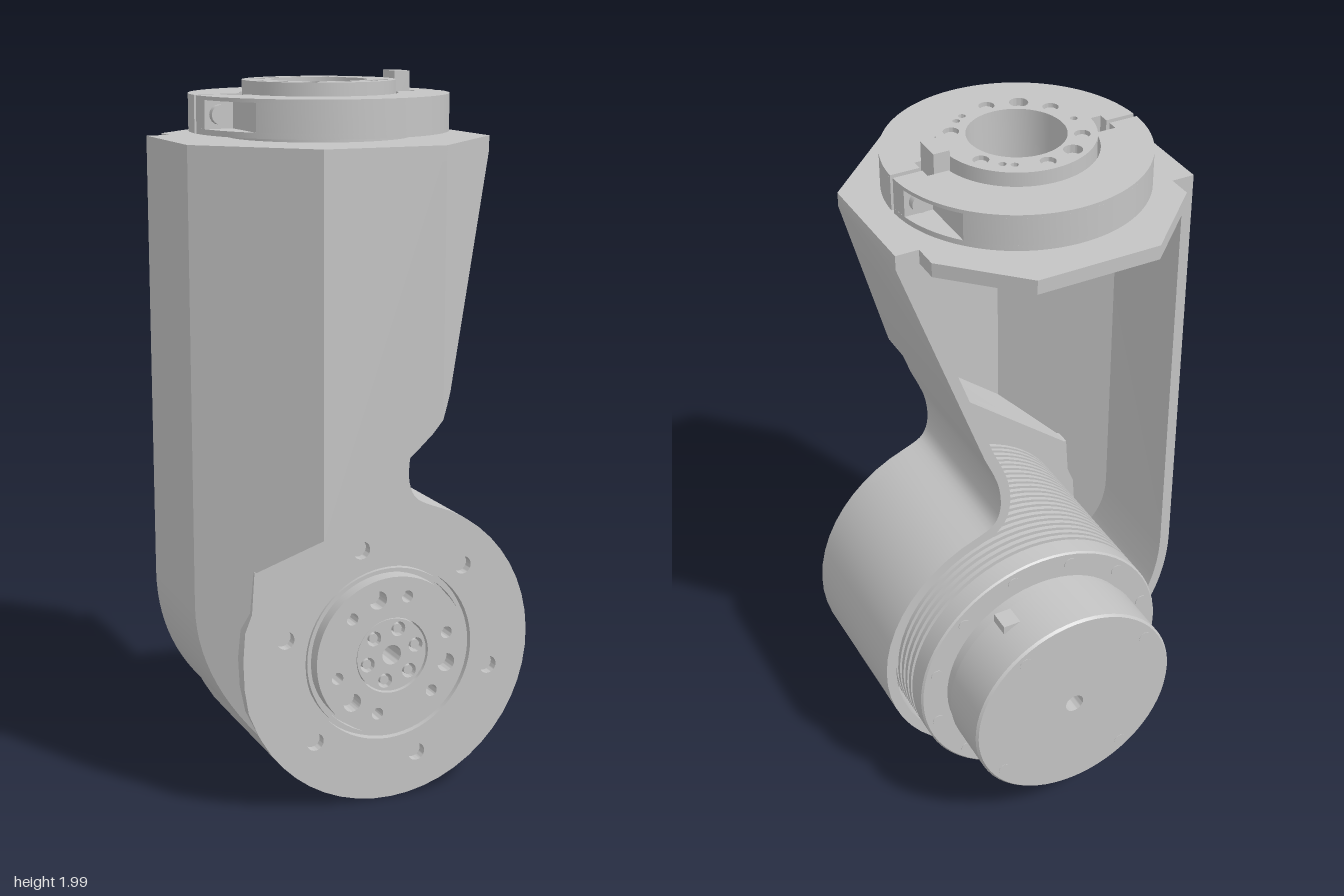
import * as THREE from 'three';
import { toCreasedNormals } from 'three/addons/utils/BufferGeometryUtils.js';

const CX = 0.043, CY = 0.435, R = 0.427;  // motor axis and housing radius
const TX = -0.042, TZ = 0.042;            // clamp axis
const BACK = -0.13, FACE = 0.34, WALL = 0.03;
const V = (x, y) => new THREE.Vector2(x, y);
const polar = (r, deg, x = 0, y = 0) =>
  V(x + r * Math.cos(deg * Math.PI / 180), y + r * Math.sin(deg * Math.PI / 180));

// Front surface of the upper shell: flat centre with two chamfers
const shellZ = x => Math.min(0.475, 0.605 - x, 0.685 + x);
// The lower housing ends at the flat motor face
const frontZ = (x, y) => (x > -0.3449 && y < 1.1805 ? FACE : shellZ(x));

function circleHole(shape, r, x = 0, y = 0) {
  const p = new THREE.Path();
  p.absarc(x, y, r, 0, Math.PI * 2, true);
  shape.holes.push(p);
}
function disc(r, bore) {
  const s = new THREE.Shape();
  s.absarc(0, 0, r, 0, Math.PI * 2, false);
  circleHole(s, bore);
  return s;
}
const extrude = (shape, depth) => toCreasedNormals(
  new THREE.ExtrudeGeometry(shape, { depth, bevelEnabled: false, curveSegments: 32 }), 0.5);
// Horizontal slab: shape y becomes z, top face at the given height
const slab = (shape, top, depth) => extrude(shape, depth).rotateX(Math.PI / 2).translate(0, top, 0);

function quads(list) {
  const pos = [];
  for (const [a, b, c, d] of list) pos.push(...a, ...b, ...c, ...a, ...c, ...d);
  const g = new THREE.BufferGeometry();
  g.setAttribute('position', new THREE.Float32BufferAttribute(pos, 3));
  return toCreasedNormals(g, 0.5);
}

export function createModel() {
  const grey = new THREE.MeshStandardMaterial({ color: 0xc4c4c4, side: THREE.DoubleSide });
  grey.name = 'grey metal';
  const model = new THREE.Group();
  model.name = 'robotJoint';
  const add = (name, geometry, parent = model) => {
    const m = new THREE.Mesh(geometry, grey);
    m.name = name;
    parent.add(m);
    return m;
  };

  // Silhouette of the housing, counter-clockwise from top left to top right
  const leftArc = new THREE.QuadraticBezierCurve(
    V(-0.475, 0.6), V(-0.475, 0.4), V(-0.345, 0.255)).getPoints(12);
  const round = [];
  for (let a = 208; a <= 432; a += 7) round.push(polar(R, a, CX, CY));
  const neck = [...new THREE.SplineCurve([V(0.175, 0.841), V(0.125, 0.865), V(0.103, 0.9),
    V(0.097, 0.95), V(0.108, 1.02), V(0.145, 1.11)]).getPoints(15).slice(1), V(0.17, 1.18)];
  const shoulder = [V(0.1705, 1.1815), V(0.385, 1.79), V(0.385, 1.83)];
  const outline = [V(-0.475, 1.83), ...leftArc, ...round, ...neck, ...shoulder];

  // Walls: outer skin, inner skin and the open rear rim
  const inner = outline.map((p, i) => {
    const a = outline[Math.max(i - 1, 0)], b = outline[Math.min(i + 1, outline.length - 1)];
    const t = b.clone().sub(a).normalize();
    return V(p.x - t.y * WALL, p.y + t.x * WALL);
  });
  const walls = [];
  for (let i = 0; i < outline.length - 1; i++) {
    const p = outline[i], q = outline[i + 1], pi = inner[i], qi = inner[i + 1];
    const pz = frontZ(p.x, p.y), qz = frontZ(q.x, q.y);
    const P = [p.x, p.y, BACK], Q = [q.x, q.y, BACK], PI = [pi.x, pi.y, BACK], QI = [qi.x, qi.y, BACK];
    walls.push([P, Q, [q.x, q.y, qz], [p.x, p.y, pz]]);
    walls.push([QI, PI, [pi.x, pi.y, pz - 0.015], [qi.x, qi.y, qz - 0.015]]);
    walls.push([Q, P, PI, QI]);
  }
  add('housingWalls', quads(walls));

  // Diagonal step between the shell and the motor face, curving up into the side wall
  const step = [V(-0.345, 0.715), V(-0.21, 0.824), V(0.05, 1.034), V(0.1, 1.08),
    V(0.13, 1.115), V(0.152, 1.148), V(0.17, 1.18)];
  add('diagonalStep', quads(step.slice(1).map((q, i) => {
    const p = step[i];
    return [[p.x, p.y, FACE], [q.x, q.y, FACE], [q.x, q.y, shellZ(q.x)], [p.x, p.y, shellZ(p.x)]];
  })));

  // Flat front panels of the upper shell
  const panel = (name, pts) => {
    const g = new THREE.ShapeGeometry(new THREE.Shape(pts));
    const p = g.attributes.position;
    for (let i = 0; i < p.count; i++) p.setZ(i, shellZ(p.getX(i)));
    g.computeVertexNormals();
    add(name, g);
  };
  panel('frontPanel', [...step.slice(1, 5), V(0.13, 1.83), V(-0.21, 1.83)]);
  panel('rightChamfer', [V(-0.475, 1.83), ...leftArc, step[0], step[1], V(-0.21, 1.83)]);
  panel('leftChamfer', [...step.slice(4), ...shoulder, V(0.13, 1.83)]);

  // Motor face plate with bolt holes, its rim standing proud of the chamfer
  const rim = [V(-0.352, 0.715), V(-0.36, 0.6), V(-0.38, 0.55), V(-0.386, 0.47),
    V(-0.383, 0.39), V(-0.372, 0.32), V(-0.345, 0.255)];
  const face = new THREE.Shape([...rim, ...round, ...neck, ...step.slice(0, -1).reverse()]);
  circleHole(face, 0.25, CX, CY);
  for (let k = 0; k < 6; k++) {
    const p = polar(0.317, 105.6 + 60 * k, CX, CY);
    circleHole(face, 0.025, p.x, p.y);
  }
  add('facePlate', extrude(face, 0.05).translate(0, 0, FACE - 0.05));

  // Finned motor body, flange and rear cap
  const motor = new THREE.Group();
  motor.name = 'motor';
  motor.position.set(CX, CY, 0);
  model.add(motor);
  const prof = [V(0.028, -0.475), V(0.306, -0.475), V(0.312, -0.468), V(0.312, -0.312),
    V(0.304, -0.308), V(0.304, -0.275), V(0.38, -0.275), V(0.385, -0.27), V(0.385, -0.213)];
  for (let z = -0.213; z < 0.27; z += 0.024)
    prof.push(V(0.367, z), V(0.367, z + 0.011), V(0.385, z + 0.011), V(0.385, z + 0.024));
  prof.push(V(0.385, 0.312), V(0.028, 0.312), V(0.028, -0.475));
  add('motorBody', toCreasedNormals(new THREE.LatheGeometry(prof, 64), 0.5).rotateX(Math.PI / 2), motor);
  const stud = (name, r, p, z, len, parent) =>
    add(name, new THREE.CylinderGeometry(r, r, len, 16).rotateX(Math.PI / 2).translate(p.x, p.y, z), parent);
  for (let k = 0; k < 12; k++) stud('flangeScrew', 0.018, polar(0.347, 15 + 30 * k), -0.272, 0.01, motor);
  for (let k = 0; k < 4; k++) stud('capScrew', 0.018, polar(0.275, 55 + 90 * k), -0.472, 0.008, motor);
  add('cableSocket', new THREE.BoxGeometry(0.055, 0.03, 0.06).translate(0.145, 0.272, -0.345), motor);

  // Output flange with its bolt pattern and hub
  const out = disc(0.225, 0.108);
  for (let k = 0; k < 3; k++) {
    for (const [r, angle] of [[0.026, 105], [0.017, 75], [0.017, 135]]) {
      const p = polar(0.17, angle + 120 * k);
      circleHole(out, r, p.x, p.y);
    }
  }
  add('outputFlange', extrude(out, 0.06).translate(0, 0, 0.3), motor);
  const hub = disc(0.104, 0.028);
  for (let k = 0; k < 6; k++) {
    const p = polar(0.075, 15 + 60 * k);
    circleHole(hub, 0.021, p.x, p.y);
    stud('hubScrew', 0.013, p, 0.33, 0.04, motor);
  }
  add('outputHub', extrude(hub, 0.05).translate(0, 0, 0.305), motor);
  add('sealRing', extrude(disc(0.243, 0.232), 0.03).translate(0, 0, 0.305), motor);

  // Top plate
  const plate = new THREE.Shape([V(-0.475, -0.13), V(-0.41, -0.13), V(-0.41, -0.2), V(-0.215, -0.39),
    V(0.13, -0.39), V(0.32, -0.2), V(0.32, -0.13), V(0.385, -0.13), V(0.385, 0.22),
    V(0.13, 0.475), V(-0.21, 0.475), V(-0.475, 0.21)]);
  circleHole(plate, 0.13, TX, TZ);
  const ring = disc(0.207, 0.13);
  const top = new THREE.Group();
  top.name = 'topCoupling';
  top.position.set(TX, 0, TZ);
  model.add(top);
  const bolt = (r, deg, y) => {
    const p = polar(0.167, deg);
    circleHole(ring, r, p.x, p.y);
    add('couplingScrew', new THREE.CylinderGeometry(r * 0.8, r * 0.8, 0.1, 16).translate(p.x, y - 0.05, p.y), top);
  };
  for (let k = 0; k < 6; k++) {
    const p = polar(0.167, 30 + 60 * k, TX, TZ);
    circleHole(plate, 0.017, p.x, p.y);
    bolt(0.021, 30 + 60 * k, 1.97);
  }
  for (const a of [120, 240]) bolt(0.025, a, 1.96);
  for (const a of [50, 60.5, 299.5, 310, 180]) bolt(0.01, a, 1.95);
  add('topPlate', slab(plate, 1.83, 0.04));
  add('couplingHub', slab(ring, 1.98, 0.15), top);
  add('spacer', slab(disc(0.25, 0.2), 1.85, 0.02), top);
  add('key', new THREE.BoxGeometry(0.045, 0.1, 0.075).translate(0.23, 1.95, 0), top);

  // Split clamp: two halves, each with a bolt pocket in the middle layer
  const half = pocket => {
    const s = new THREE.Shape();
    s.moveTo(0.352, 0.008);
    s.absarc(0, 0, 0.352, 0.023, pocket ? Math.PI - 0.705 : Math.PI - 0.023, false);
    if (pocket) s.lineTo(-0.268, 0.06).lineTo(-0.347, 0.06);
    s.lineTo(-0.352, 0.008).lineTo(-0.27, 0.008).lineTo(-0.27, 0.038).lineTo(-0.212, 0.038);
    s.absarc(0, 0, 0.215, Math.PI - 0.178, 0.178, true);
    s.lineTo(0.27, 0.038).lineTo(0.27, 0.008);
    return s;
  };
  for (const turn of [0, Math.PI]) {
    const g = new THREE.Group();
    g.name = 'clampHalf';
    g.rotation.y = turn;
    top.add(g);
    add('clampTop', slab(half(false), 1.945, 0.01), g);
    add('clampMiddle', slab(half(true), 1.935, 0.075), g);
    add('clampBase', slab(half(false), 1.86, 0.015), g);
    stud('clampBolt', 0.026, V(-0.308, 1.897), 0.065, 0.03, g);
  }
  return model;
}
